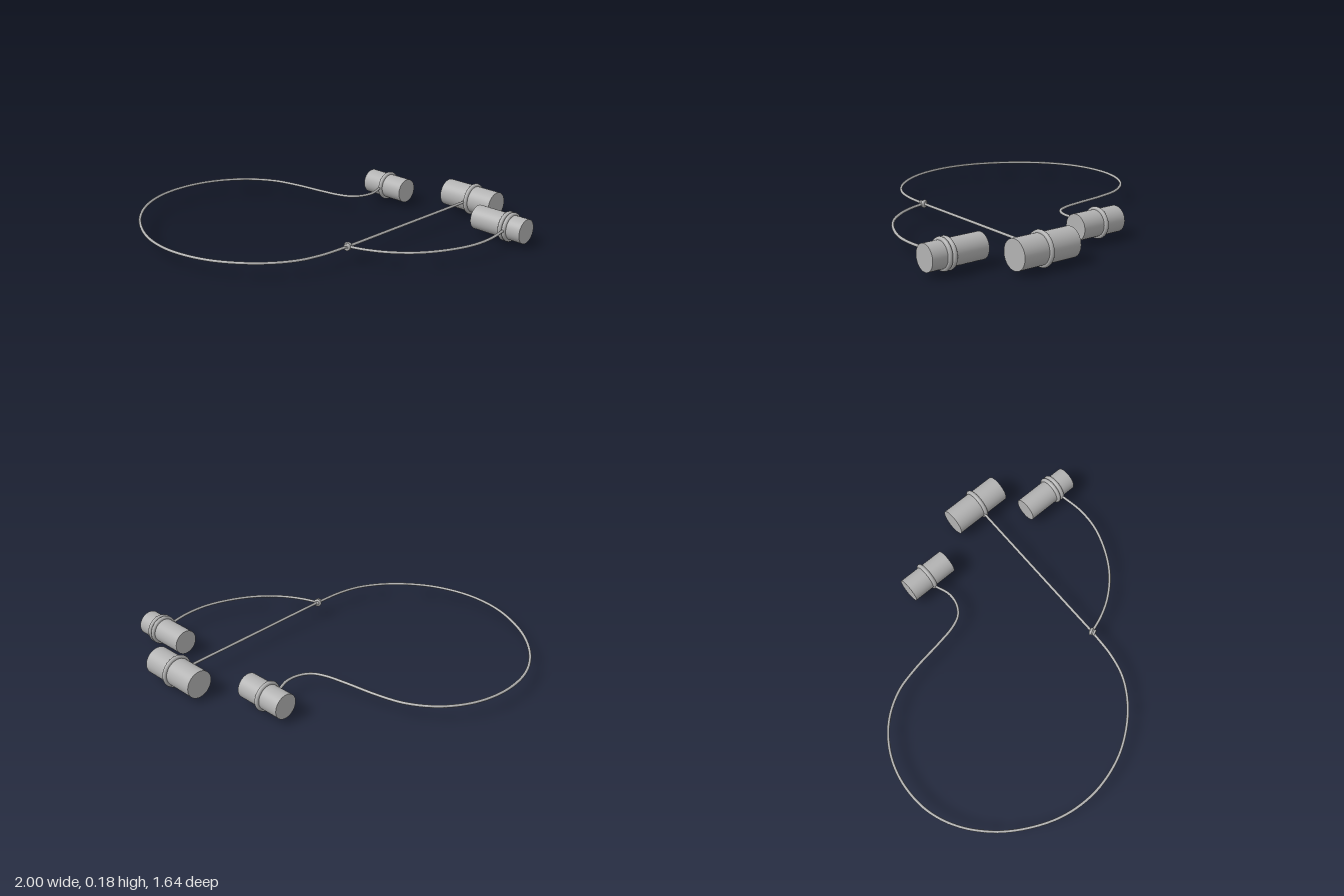
import * as THREE from 'three';

const Y = 0.09; // height of all centre lines

export function createModel() {
  const root = new THREE.Group();
  const grey = new THREE.MeshStandardMaterial({ color: 0xb2b2b2 });
  grey.name = 'plain grey';

  const add = (parent, name, geometry) => {
    const mesh = new THREE.Mesh(geometry, grey);
    mesh.name = name;
    parent.add(mesh);
    return mesh;
  };

  // Cylindrical weight lying on its side, with cord loops tied round it
  const weight = (name, x, z, length, radius, loops) => {
    const group = new THREE.Group();
    group.name = name;
    group.position.set(x, Y, z);
    group.rotation.y = -0.19;
    add(group, 'weightBody', new THREE.CylinderGeometry(radius, radius, length, 48).rotateZ(Math.PI / 2));
    for (const offset of loops) {
      const ring = new THREE.TorusGeometry(radius + 0.002, 0.012, 10, 48).rotateY(Math.PI / 2);
      add(group, 'cordLoop', ring.translate(offset, 0, 0));
    }
    root.add(group);
  };
  weight('smallWeight', 0.016, -0.645, 0.272, 0.068, [-0.005]);
  weight('largeWeight', 0.524, -0.714, 0.335, 0.076, [0.012]);
  weight('mediumWeight', 0.83, -0.44, 0.312, 0.067, [0.037, 0.062]);

  // Cords run flat through [x, z] points
  const cord = (name, points, segments) => {
    const curve = new THREE.CatmullRomCurve3(points.map(([x, z]) => new THREE.Vector3(x, Y, z)));
    add(root, name, new THREE.TubeGeometry(curve, segments, 0.0075, 8));
  };
  const knot = [0.313, 0.275];
  cord('longCord', [
    [-0.008, -0.58], [0.005, -0.48], [-0.018, -0.41], [-0.065, -0.362], [-0.14, -0.342],
    [-0.25, -0.341], [-0.45, -0.348], [-0.6, -0.335], [-0.75, -0.272], [-0.87, -0.165],
    [-0.95, -0.03], [-0.99, 0.13], [-0.985, 0.27], [-0.935, 0.42], [-0.82, 0.585],
    [-0.63, 0.735], [-0.46, 0.8], [-0.3, 0.815], [-0.12, 0.785], [0.07, 0.69],
    [0.2, 0.565], [0.265, 0.44], knot,
  ], 160);
  cord('straightCord', [knot, [0.412, -0.18], [0.512, -0.635]], 8);
  cord('shortCord', [
    knot, [0.42, 0.258], [0.53, 0.22], [0.65, 0.145], [0.75, 0.04],
    [0.83, -0.09], [0.868, -0.22], [0.877, -0.37],
  ], 60);

  // Knot joining the three cords
  const knotGroup = new THREE.Group();
  knotGroup.name = 'knot';
  knotGroup.position.set(knot[0], Y, knot[1]);
  knotGroup.rotation.y = 0.25;
  add(knotGroup, 'knotCore', new THREE.SphereGeometry(0.018, 16, 12));
  add(knotGroup, 'knotWrap', new THREE.TorusGeometry(0.015, 0.008, 8, 20)).position.z = -0.006;
  add(knotGroup, 'knotTurn', new THREE.TorusGeometry(0.012, 0.007, 8, 20)).position.z = 0.013;
  root.add(knotGroup);

  return root;
}
